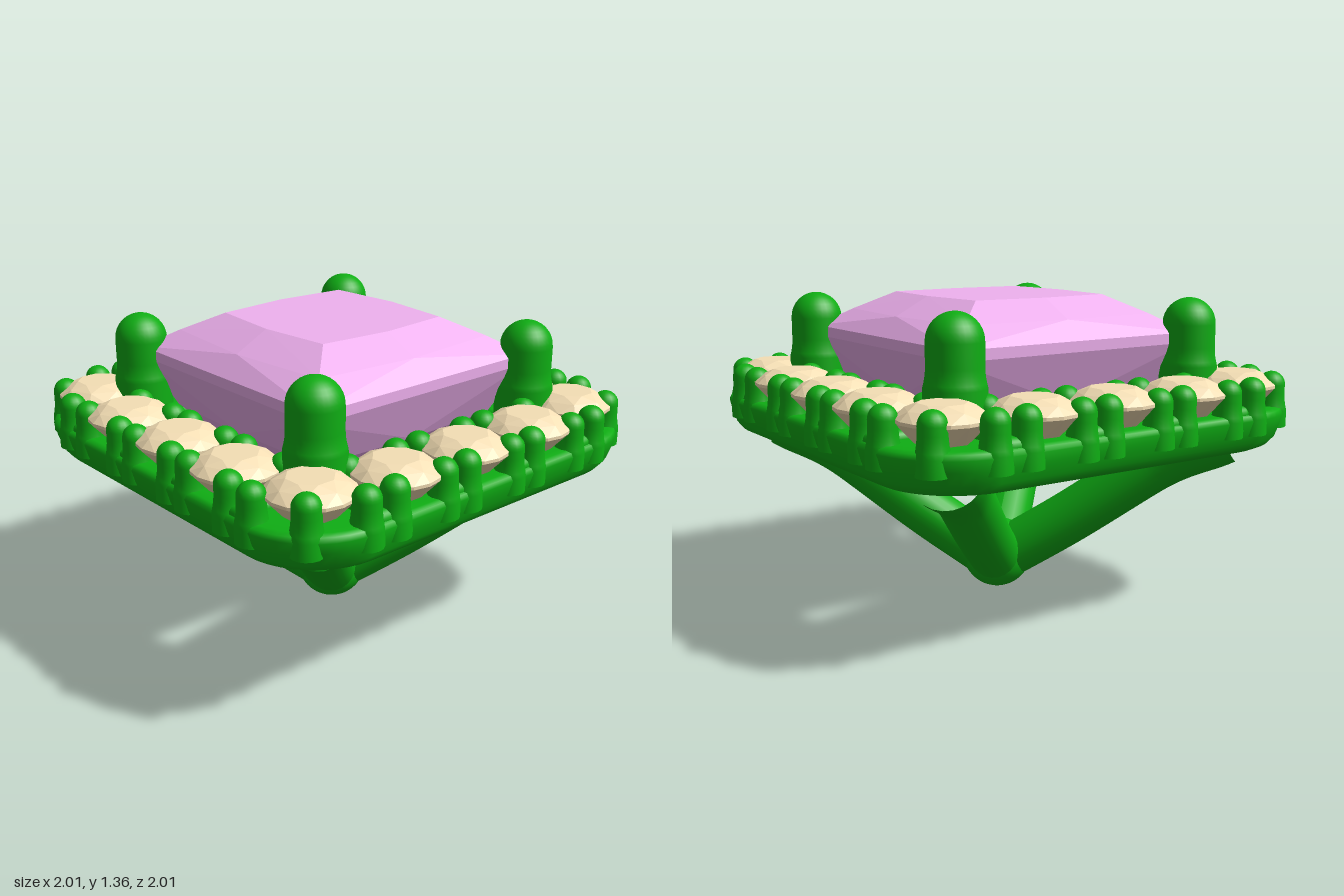
import * as THREE from 'three';
import { ConvexGeometry } from 'three/addons/geometries/ConvexGeometry.js';
import { RoundedBoxGeometry } from 'three/addons/geometries/RoundedBoxGeometry.js';

const metal = new THREE.MeshStandardMaterial({ color: 0x0fae14 });
const pink = new THREE.MeshStandardMaterial({ color: 0xf0b2f0, flatShading: true });
const cream = new THREE.MeshStandardMaterial({ color: 0xf5dfb5, flatShading: true });

function add(parent, name, geometry, material, x = 0, y = 0, z = 0) {
  const mesh = new THREE.Mesh(geometry, material);
  mesh.name = name;
  mesh.position.set(x, y, z);
  parent.add(mesh);
  return mesh;
}

// Square halo with rounded corners: a closed section [half width, corner radius, height] swept round
function haloGeometry() {
  const section = [
    [0.61, 0.08, 0.715], [0.88, 0.29, 0.715], [0.91, 0.3, 0.718], [0.945, 0.32, 0.735],
    [0.968, 0.33, 0.765], [0.985, 0.34, 0.82], [0.993, 0.34, 0.865], [0.985, 0.34, 0.885], [0.965, 0.33, 0.893],
    [0.93, 0.31, 0.893], [0.62, 0.08, 0.893], [0.595, 0.06, 0.888], [0.58, 0.05, 0.87],
    [0.578, 0.05, 0.85], [0.578, 0.05, 0.75], [0.585, 0.05, 0.728],
  ];
  const steps = 10, around = 4 * (steps + 1), pos = [], index = [];
  for (const [half, r, y] of section) {
    for (let k = 0; k < 4; k++) {
      const mid = Math.PI / 4 + k * Math.PI / 2;
      const cx = Math.sign(Math.cos(mid)) * (half - r), cz = Math.sign(Math.sin(mid)) * (half - r);
      for (let j = 0; j <= steps; j++) {
        const a = (k + j / steps) * Math.PI / 2;
        pos.push(cx + r * Math.cos(a), y, cz + r * Math.sin(a));
      }
    }
  }
  for (let i = 0; i < section.length; i++) {
    const i2 = (i + 1) % section.length;
    for (let j = 0; j < around; j++) {
      const j2 = (j + 1) % around;
      const a = i * around + j, b = i2 * around + j, c = i2 * around + j2, d = i * around + j2;
      index.push(a, b, d, b, c, d);
    }
  }
  const g = new THREE.BufferGeometry();
  g.setAttribute('position', new THREE.Float32BufferAttribute(pos, 3));
  g.setIndex(index);
  g.computeVertexNormals();
  return g;
}

// Square-cut centre gem: each level has four corners and four edge midpoints
function gemGeometry() {
  const levels = [
    [1.36, 0.33, 0.36], [1.28, 0.475, 0.515], [1.2, 0.6, 0.6], [1.155, 0.6, 0.6],
    [0.93, 0.49, 0.51], [0.72, 0.28, 0.335], [0.58, 0.13, 0.165],
  ];
  const pts = [new THREE.Vector3(0, 0.47, 0)];
  for (const [y, c, m] of levels) {
    for (const s of [-1, 1]) {
      pts.push(new THREE.Vector3(s * c, y, c), new THREE.Vector3(s * c, y, -c));
      pts.push(new THREE.Vector3(s * m, y, 0), new THREE.Vector3(0, y, s * m));
    }
  }
  return new ConvexGeometry(pts);
}

// Small round brilliant: table, crown, girdle and point
function brilliantGeometry() {
  const pts = [new THREE.Vector3(0, 0.8, 0)];
  const ring = (r, y, n, turn) => {
    for (let i = 0; i < n; i++) {
      const a = (i + turn) * 2 * Math.PI / n;
      pts.push(new THREE.Vector3(r * Math.cos(a), y, r * Math.sin(a)));
    }
  };
  ring(0.095, 1.04, 8, 0.5);
  ring(0.145, 1.018, 8, 0);
  ring(0.18, 0.985, 16, 0);
  ring(0.18, 0.972, 16, 0);
  ring(0.1, 0.885, 8, 0.5);
  return new ConvexGeometry(pts);
}

// Upright round-topped peg, widening towards its foot
function pegGeometry(radius, foot, bottom, flareTop, top, segments) {
  const pts = [new THREE.Vector2(foot, bottom)];
  for (let i = 0; i <= 4; i++) {
    const t = i / 4;
    pts.push(new THREE.Vector2(radius + (foot - radius) * (1 - t) ** 2, flareTop - 0.08 * (1 - t)));
  }
  for (let i = 0; i <= 8; i++) {
    const a = i / 8 * Math.PI / 2;
    pts.push(new THREE.Vector2(i === 8 ? 0 : radius * Math.cos(a), top - radius + radius * Math.sin(a)));
  }
  return new THREE.LatheGeometry(pts, segments);
}

// Strut running from the base point to a corner, swelling where it meets the halo
function strutGeometry() {
  const curve = new THREE.CatmullRomCurve3(
    [[0, 0.13], [0.23, 0.335], [0.5, 0.6], [0.6, 0.69], [0.71, 0.77]].map(([d, y]) => new THREE.Vector3(d, y, d)));
  const n = 40, sides = 24;
  const g = new THREE.TubeGeometry(curve, n, 0.12, sides, false);
  const p = g.attributes.position, v = new THREE.Vector3();
  for (let i = 0; i <= n; i++) {
    const t = i / n, centre = curve.getPointAt(t);
    const swell = 1 + 0.25 * THREE.MathUtils.smoothstep(t, 0.7, 1);
    for (let j = 0; j <= sides; j++) {
      const k = i * (sides + 1) + j;
      v.fromBufferAttribute(p, k).sub(centre).multiplyScalar(swell).add(centre);
      p.setXYZ(k, v.x, v.y, v.z);
    }
  }
  g.computeVertexNormals();
  return g;
}

export function createModel() {
  const model = new THREE.Group();
  model.name = 'gemSetting';

  add(model, 'haloFrame', haloGeometry(), metal);
  add(model, 'centreGem', gemGeometry(), pink);
  add(model, 'basePoint', new THREE.SphereGeometry(0.16, 32, 20), metal, 0, 0.16, 0);

  const brilliant = brilliantGeometry();
  const bead = pegGeometry(0.057, 0.068, 0.8, 0.95, 1.04, 16);
  const post = pegGeometry(0.114, 0.126, 0.76, 1.14, 1.352, 32);
  const strut = strutGeometry();
  const rib = new RoundedBoxGeometry(0.1, 0.13, 0.33, 3, 0.035);

  // One side and one corner, repeated four times
  for (let k = 0; k < 4; k++) {
    const side = new THREE.Group();
    side.name = 'side' + (k + 1);
    side.rotation.y = k * Math.PI / 2;
    model.add(side);

    for (const x of [-0.38, 0, 0.38]) {
      add(side, 'sideStone', brilliant, cream, x, 0, 0.81);
      for (const dx of [-0.127, 0.127]) {
        for (const z of [0.938, 0.678]) add(side, 'beadProng', bead, metal, x + dx, 0, z);
      }
    }
    for (const x of [-0.57, -0.19, 0.19, 0.57]) add(side, 'rib', rib, metal, x, 0.86, 0.81);

    add(side, 'cornerStone', brilliant, cream, 0.745, 0, 0.745).rotation.y = Math.PI / 4;
    for (const [x, z] of [[0.855, 0.855], [0.645, 0.938], [0.938, 0.645]]) {
      add(side, 'cornerBeadProng', bead, metal, x, 0, z);
    }
    add(side, 'cornerPost', post, metal, 0.6, 0, 0.6);
    add(side, 'strut', strut, metal);
  }
  return model;
}
